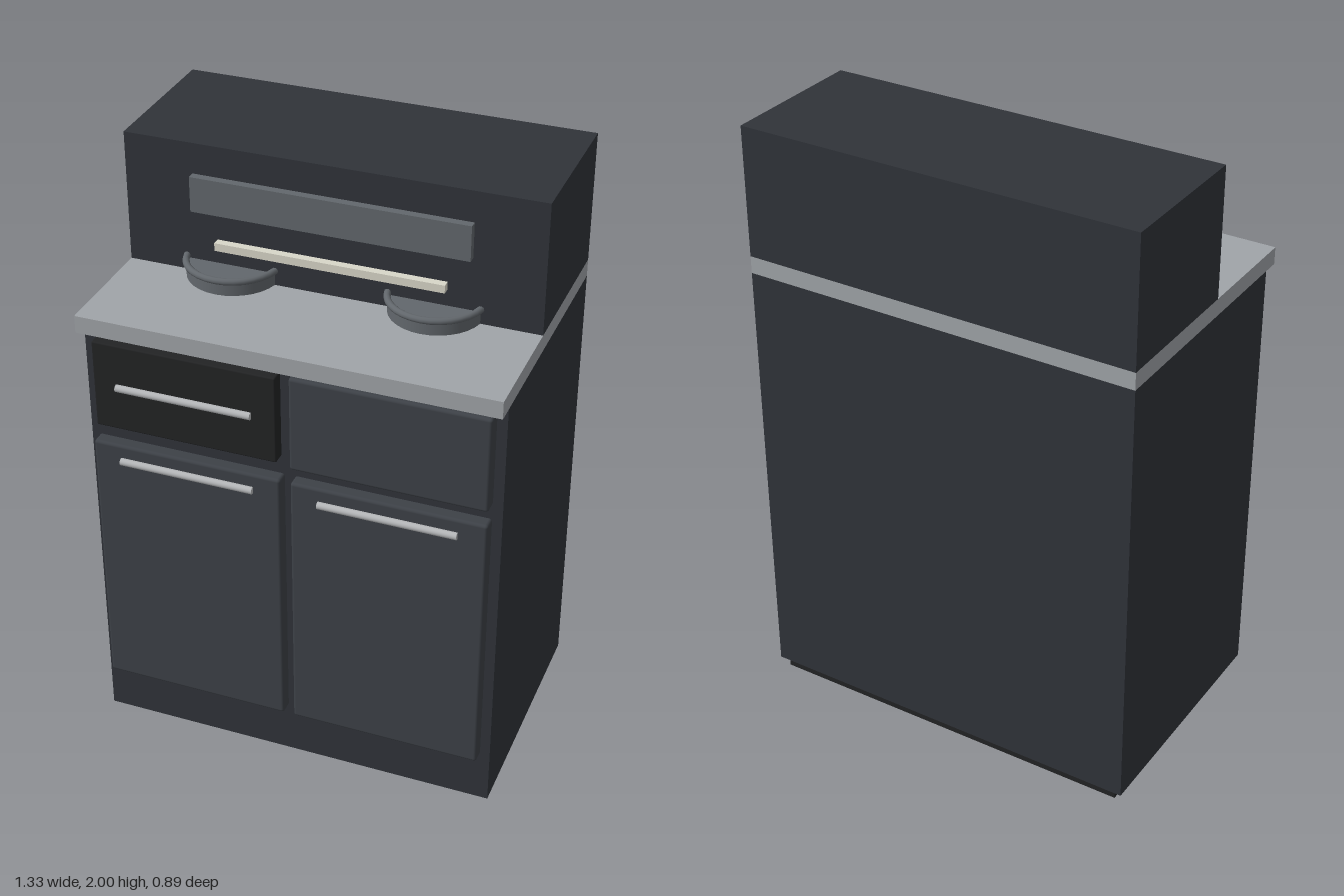
import * as THREE from 'three';
import { RoundedBoxGeometry } from 'three/addons/geometries/RoundedBoxGeometry.js';

const paint = (color) => new THREE.MeshStandardMaterial({ color });

export function createModel() {
  const model = new THREE.Group();
  model.name = 'stove';

  const carcass = paint(0x303339);
  const front = paint(0x3d4147);
  const dark = paint(0x222324);
  const counter = paint(0xa0a4a8);
  const metal = paint(0xb4b6b8);
  const iron = paint(0x62676c);
  const cream = paint(0xd8d6c8);

  const add = (name, geometry, material, x = 0, y = 0, z = 0) => {
    const mesh = new THREE.Mesh(geometry, material);
    mesh.name = name;
    mesh.position.set(x, y, z);
    model.add(mesh);
    return mesh;
  };

  // Box given by its limits on each axis; a radius rounds its edges
  const block = (name, material, [x0, x1], [y0, y1], [z0, z1], radius = 0) => {
    const size = [x1 - x0, y1 - y0, z1 - z0];
    const geometry = radius
      ? new RoundedBoxGeometry(...size, 3, radius)
      : new THREE.BoxGeometry(...size);
    return add(name, geometry, material, (x0 + x1) / 2, (y0 + y1) / 2, (z0 + z1) / 2);
  };

  // Cabinet, worktop and raised back
  const width = [-0.665, 0.665];
  block('plinth', dark, [-0.637, 0.637], [0, 0.035], [-0.43, 0.31]);
  block('cabinet', carcass, width, [0.032, 1.515], [-0.443, 0.388]);
  block('worktop', counter, width, [1.515, 1.572], [-0.443, 0.445]);
  block('backUnit', carcass, width, [1.572, 2], [-0.443, 0.056]);

  // Doors and drawers
  block('rightDoor', front, [-0.64, -0.02], [0.213, 1.128], [0.375, 0.43], 0.01);
  block('leftDoor', front, [0.013, 0.633], [0.213, 1.128], [0.375, 0.43], 0.01);
  block('ovenDrawer', dark, [-0.624, -0.03], [1.19, 1.485], [0.375, 0.43], 0.005);
  block('plainDrawer', front, [0.013, 0.633], [1.178, 1.498], [0.375, 0.434], 0.01);

  // Round bar handles
  for (const [name, x, y] of [
    ['drawerHandle', -0.328, 1.34],
    ['rightDoorHandle', -0.328, 1.073],
    ['leftDoorHandle', 0.323, 1.073],
  ]) {
    const bar = add(name, new THREE.CylinderGeometry(0.012, 0.012, 0.44, 16), metal, x, y, 0.434);
    bar.rotation.z = Math.PI / 2;
  }

  // Hot plates, each with a raised ring
  for (const x of [-0.327, 0.327]) {
    add('hotPlate', new THREE.CylinderGeometry(0.148, 0.148, 0.04, 32), iron, x, 1.592, 0.028);
    const ring = add('hotPlateRing', new THREE.TorusGeometry(0.148, 0.011, 10, 32), iron, x, 1.62, 0.028);
    ring.rotation.x = Math.PI / 2;
  }

  // Panel and rail on the raised back
  block('backPanel', iron, [-0.443, 0.443], [1.785, 1.9], [0.04, 0.082]);
  block('backRail', cream, [-0.368, 0.368], [1.666, 1.692], [0.04, 0.082]);

  return model;
}
